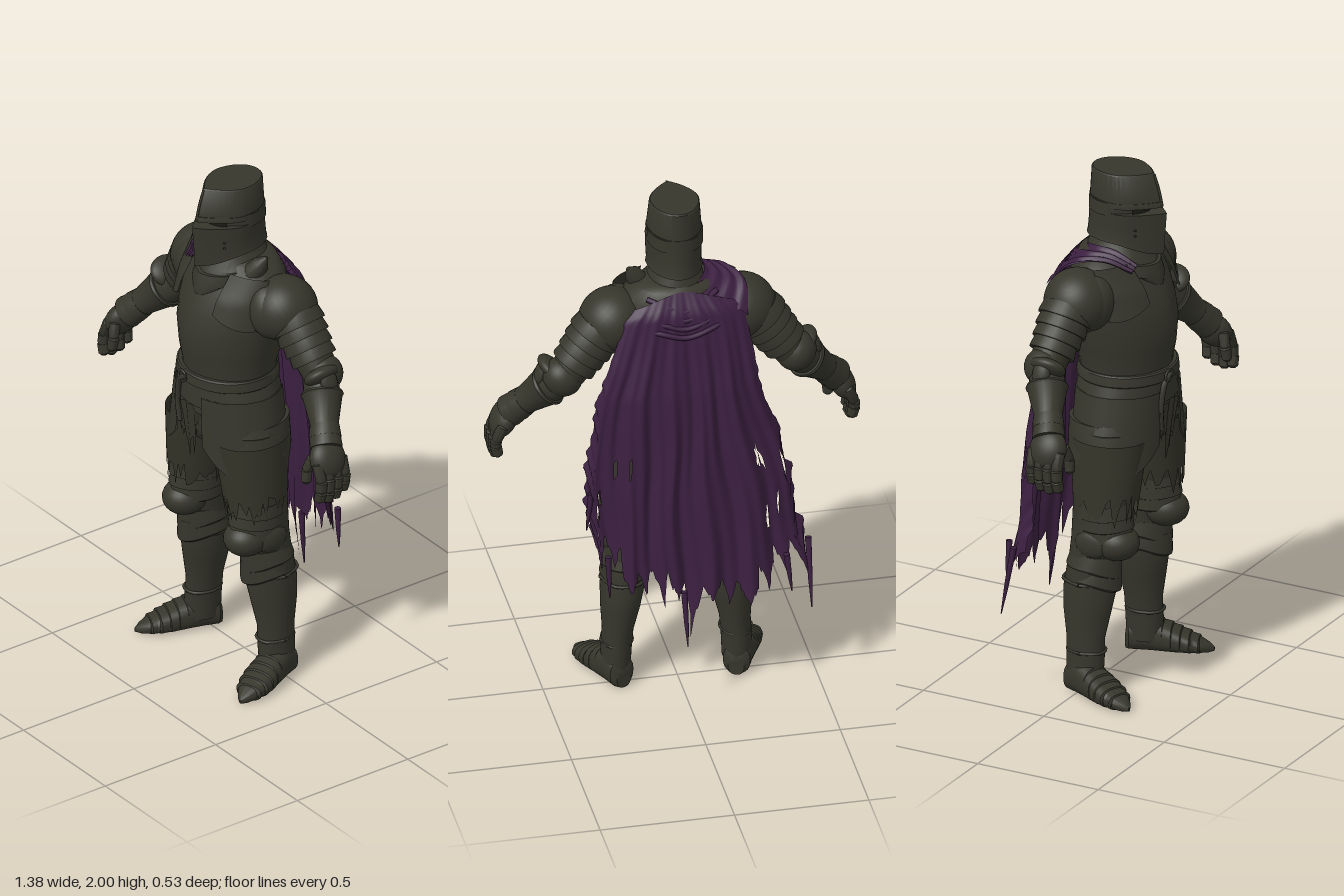
import * as THREE from 'three';
import { toCreasedNormals } from 'three/addons/utils/BufferGeometryUtils.js';

const mat = (name, color) => {
  const m = new THREE.MeshStandardMaterial({ color, side: THREE.DoubleSide });
  m.name = name;
  return m;
};
const V = (x, y, z) => new THREE.Vector3(x, y, z);
const rnd = (i) => { const f = Math.sin(i * 127.1 + 3.7) * 43758.5453; return f - Math.floor(f); };
const lerp = THREE.MathUtils.lerp;

// Piecewise-linear lookup; keys are [position, value] with falling positions
function keyed(keys, p) {
  for (let i = 1; i < keys.length; i++) {
    const [a, va] = keys[i - 1], [b, vb] = keys[i];
    if (p >= b || i === keys.length - 1) return lerp(va, vb, THREE.MathUtils.clamp((a - p) / (a - b), 0, 1));
  }
}

// Closed solid through oval rings [y, halfWidth, zFront, zBack, xCentre, frontPeak, frontDip]
function loft(rings, { n = 36, square = 1 } = {}) {
  if (rings[0][0] > rings[rings.length - 1][0]) rings = [...rings].reverse();
  const pos = [], idx = [], last = (rings.length - 1) * n;
  for (const [y, rx, zf, zb, cx = 0, peak = 0, dip = 0] of rings) {
    const zm = (zf + zb) / 2, d = (zf - zb) / 2;
    for (let j = 0; j < n; j++) {
      const a = (j / n) * Math.PI * 2, c = Math.cos(a), s = Math.sin(a);
      const cc = Math.sign(c) * Math.abs(c) ** square, ss = Math.sign(s) * Math.abs(s) ** square;
      const f = s > 0 ? lerp(ss, 1 - Math.abs(c), peak) : ss;
      pos.push(cx + rx * cc, y - dip * Math.max(0, s) ** 2, zm + d * f);
    }
  }
  for (let r = 0; r < last; r += n) for (let j = 0; j < n; j++) {
    const a = r + j, c = r + (j + 1) % n;
    idx.push(a, a + n, c, c, a + n, c + n);
  }
  for (let j = 1; j < n - 1; j++) idx.push(0, j, j + 1, last, last + j + 1, last + j);
  const g = new THREE.BufferGeometry();
  g.setAttribute('position', new THREE.Float32BufferAttribute(pos, 3));
  g.setIndex(idx);
  return toCreasedNormals(g, 0.6);
}

// Cloth or plate: fn(u, v) gives a point, skip(u, v) tears a hole
function sheet(nu, nv, fn, skip = () => false) {
  const pos = [], idx = [];
  for (let j = 0; j <= nv; j++) for (let i = 0; i <= nu; i++) pos.push(...fn(i / nu, j / nv));
  for (let j = 0; j < nv; j++) for (let i = 0; i < nu; i++) {
    if (skip((i + 0.5) / nu, (j + 0.5) / nv)) continue;
    const a = j * (nu + 1) + i, b = a + nu + 1;
    idx.push(a, b, a + 1, a + 1, b, b + 1);
  }
  const g = new THREE.BufferGeometry();
  g.setAttribute('position', new THREE.Float32BufferAttribute(pos, 3));
  g.setIndex(idx);
  g.computeVertexNormals();
  return g;
}

export function createModel() {
  const steel = mat('blackened steel', 0x36362c), cloth = mat('purple cloth', 0x3c2041);
  const dark = mat('dark gaps', 0x1b1b15), mail = mat('worn mail', 0x343429);
  const root = new THREE.Group();
  const add = (name, geo, m = steel) => {
    const mesh = new THREE.Mesh(geo, m);
    mesh.name = name;
    root.add(mesh);
    return mesh;
  };
  const ball = (name, p, size, rz = 0) => {
    const b = add(name, new THREE.SphereGeometry(1, 28, 18));
    b.position.copy(p); b.scale.set(...size); b.rotation.z = rz;
  };
  const tube = (name, pts, r, m = steel) =>
    add(name, new THREE.TubeGeometry(new THREE.CatmullRomCurve3(pts), 24, r, 8), m);
  // Round limb from p to q; profile holds [fraction, radius]
  const limb = (name, p, q, profile, m = steel) => {
    const d = q.clone().sub(p), len = d.length();
    const mesh = add(name, loft(profile.map(([t, r]) => [t * len, r, r, -r]), { n: 24 }), m);
    mesh.position.copy(p);
    mesh.quaternion.setFromUnitVectors(V(0, 1, 0), d.normalize());
  };
  const lames = (name, p, q, n, r0, r1) => {
    for (let i = 0; i < n; i++) {
      const r = lerp(r0, r1, i / n);
      limb(name, p.clone().lerp(q, i / n), p.clone().lerp(q, (i + 1.15) / n), [[0, r * 0.96], [0.85, r * 1.03], [1, r * 1.02]]);
    }
  };

  // Helmet: flared bucket with a keel and a sunken eye slit at the front
  add('helmetCrown', loft([[2, 0.088, 0.18, -0.062, 0, 0.45], [1.995, 0.092, 0.186, -0.066, 0, 0.45],
    [1.9, 0.1, 0.212, -0.072, 0, 0.5], [1.872, 0.102, 0.22, -0.074, 0, 0.55]]));
  add('helmetShell', loft([[1.89, 0.1015, 0.16, -0.0735, 0, 0.2], [1.84, 0.1025, 0.16, -0.0755, 0, 0.2]]));
  add('eyeSlit', sheet(20, 1, (u, v) => {
    const a = lerp(0.25, 0.75, u) * Math.PI;
    return [0.1 * Math.cos(a), 1.84 + 0.04 * v, 0.045 + 0.122 * Math.sin(a)];
  }), dark);
  add('helmetVisor', loft([[1.852, 0.103, 0.236, -0.075, 0, 0.55], [1.8, 0.102, 0.232, -0.077, 0, 0.55],
    [1.75, 0.1, 0.226, -0.082, 0, 0.5, 0.03], [1.735, 0.104, 0.225, -0.086, 0, 0.5, 0.045]]));
  add('helmetRivetBand', loft([[1.885, 0.103, 0.222, -0.0755, 0, 0.55], [1.893, 0.102, 0.219, -0.0745, 0, 0.55]]));
  tube('helmetKeel', [V(0, 1.995, 0.184), V(0, 1.94, 0.203), V(0, 1.875, 0.218)], 0.005);
  for (const s of [-1, 1]) for (let i = 0; i < 8; i++) {
    const h = add('breathHole', new THREE.SphereGeometry(0.005, 6, 4), dark);
    h.position.set(s * (0.03 + 0.015 * (i % 4)), 1.77 + 0.022 * Math.floor(i / 4), 0.186 - 0.0135 * (i % 4));
  }

  // Neck and trunk
  add('gorget', loft([[1.78, 0.075, 0.13, -0.05], [1.7, 0.1, 0.15, -0.08], [1.67, 0.13, 0.18, -0.09, 0, 0.1],
    [1.64, 0.12, 0.2, -0.06, 0, 0.2, 0.02]]));
  add('gorgetBib', loft([[1.66, 0.1, 0.2, 0.02, 0, 0.1, 0.01], [1.62, 0.1, 0.218, 0.03, 0, 0.15, 0.02],
    [1.6, 0.075, 0.22, 0.05, 0, 0.15, 0.03]]));
  add('cuirass', loft([[1.7, 0.1, 0.12, -0.08], [1.685, 0.16, 0.13, -0.1], [1.64, 0.21, 0.165, -0.12, 0, 0.1],
    [1.58, 0.225, 0.21, -0.13, 0, 0.12], [1.5, 0.222, 0.246, -0.135, 0, 0.15], [1.42, 0.214, 0.265, -0.13, 0, 0.17],
    [1.33, 0.2, 0.258, -0.12, 0, 0.15], [1.26, 0.185, 0.242, -0.1, 0, 0.1], [1.2, 0.185, 0.235, -0.095]]));
  add('belt', loft([[1.25, 0.19, 0.25, -0.103], [1.245, 0.195, 0.257, -0.107], [1.21, 0.2, 0.26, -0.11], [1.205, 0.195, 0.252, -0.105]]));
  tube('beltStrap', [V(0, 1.235, 0.257), V(-0.05, 1.2, 0.255), V(-0.07, 1.1, 0.25), V(-0.06, 1.02, 0.247)], 0.011);
  const buckle = add('buckle', new THREE.TorusGeometry(0.022, 0.005, 8, 20));
  buckle.position.set(-0.03, 1.225, 0.26);
  add('fauld', loft([[1.22, 0.19, 0.245, -0.1], [1.13, 0.222, 0.25, -0.11, 0, 0, 0.01], [1.12, 0.215, 0.245, -0.105],
    [1.03, 0.25, 0.25, -0.11], [0.97, 0.235, 0.22, -0.1], [0.9, 0.15, 0.14, -0.07]]));
  add('loinCloth', sheet(24, 10, (u, v) => {
    const x = (u - 0.5) * 0.17 * (1 - 0.3 * v), hem = 0.86 + 0.09 * rnd(Math.floor(u * 24) + 5) + 0.25 * Math.abs(u - 0.5);
    return [x - 0.005, lerp(1.13 - 6 * x * x, hem, v), 0.261 - x * x * 2 - 0.02 * v + 0.005 * Math.sin(u * 25)];
  }), mail);

  for (const s of [-1, 1]) {
    const P = (x, y, z) => V(s * x, y, z);
    // Hip plates with pointed lower edges
    for (const [a0, a1, low] of [[0.3, 1.25, 0.88], [-0.75, 0.34, 0.9]]) {
      const hip = (out) => sheet(16, 10, (u, v) => {
        const a = lerp(a0, a1, u), y = lerp(1.17, low + 0.09 * Math.abs(2 * u - 1) ** 1.5, v), k = (1.17 - y) / 0.3;
        const r = 1 + out + 0.012 * Math.sin(u * Math.PI);
        return [s * Math.cos(a) * lerp(0.212, 0.27, k) * r, y, 0.07 + Math.sin(a) * lerp(0.185, 0.19, k) * r];
      });
      add('tasset', hip(0.01));
      add('tassetLining', hip(-0.02), mail);
    }
    // Legs
    add('thigh', loft([[1.06, 0.12, 0.2, -0.09, s * 0.12], [0.95, 0.122, 0.21, -0.08, s * 0.145], [0.82, 0.103, 0.195, -0.045, s * 0.168],
      [0.7, 0.088, 0.175, -0.045, s * 0.182], [0.6, 0.076, 0.14, -0.05, s * 0.185], [0.48, 0.078, 0.12, -0.06, s * 0.193]]));
    add('mailSkirt', sheet(60, 8, (u, v) => {
      const a = u * Math.PI * 2, hem = 0.68 + 0.12 * rnd(Math.floor((u % 1) * 60) + s * 31);
      const y = lerp(1, hem, v), k = (1 - y) / 0.3;
      return [s * lerp(0.145, 0.178, k) + Math.cos(a) * lerp(0.125, 0.1, k), y, 0.078 + Math.sin(a) * lerp(0.148, 0.12, k)];
    }), mail);
    for (let i = 0; i < 3; i++) {
      const y = 0.75 - i * 0.045, e = 0.004 - i * 0.003;
      add('thighLame', loft([[y, 0.088 + e, 0.185, -0.035, s * 0.18, 0.1, -0.02], [y - 0.05, 0.091 + e, 0.195, -0.04, s * 0.182, 0.1, -0.01],
        [y - 0.055, 0.085, 0.185, -0.035, s * 0.182, 0.1, -0.01]]));
    }
    ball('kneeCop', P(0.187, 0.6, 0.13), [0.08, 0.068, 0.087]);
    ball('kneeWing', P(0.25, 0.6, 0.06), [0.026, 0.055, 0.065]);
    for (let i = 0; i < 2; i++) add('kneeLame', loft([[0.55 - i * 0.05, 0.076, 0.15, -0.05, s * 0.19, 0.1],
      [0.5 - i * 0.05, 0.088, 0.15, -0.065, s * 0.193, 0.15, 0.035], [0.493 - i * 0.05, 0.084, 0.14, -0.06, s * 0.193, 0.15, 0.035]]));
    add('greave', loft([[0.5, 0.08, 0.125, -0.06, s * 0.195], [0.4, 0.081, 0.13, -0.075, s * 0.2, 0.1], [0.32, 0.073, 0.115, -0.07, s * 0.208, 0.1],
      [0.22, 0.057, 0.096, -0.055, s * 0.218, 0.1], [0.13, 0.056, 0.095, -0.052, s * 0.224], [0.05, 0.055, 0.09, -0.05, s * 0.226]]));
    for (const y of [0.17, 0.44]) tube('greaveStrap', [0, 1, 2, 3, 4, 5, 6].map((i) => {
      const a = i / 6 * Math.PI * 2, r = y > 0.3 ? 0.085 : 0.058;
      return P((y > 0.3 ? 0.198 : 0.222) + Math.cos(a) * r, y, 0.025 + Math.sin(a) * (r + 0.016));
    }), 0.006);
    // Pointed armoured shoe, turned out
    const shoe = (name, rings) => {
      const f = add(name, loft(rings, { square: 0.8 }).rotateX(Math.PI / 2));
      f.position.set(s * 0.226, 0, 0); f.rotation.y = s * 0.36;
    };
    shoe('shoe', [[-0.05, 0.03, 0, -0.08], [-0.035, 0.05, 0, -0.11], [0.02, 0.055, 0, -0.135], [0.08, 0.06, 0, -0.115],
      [0.15, 0.064, 0, -0.083], [0.21, 0.05, 0, -0.058], [0.255, 0.024, 0, -0.035], [0.275, 0.004, -0.005, -0.02]]);
    for (let i = 0; i < 5; i++) {
      const z = 0.06 + i * 0.033, w = [0.06, 0.064, 0.066, 0.063, 0.053][i], h = 0.127 - i * 0.015;
      shoe('shoeLame', [[z, w - 0.002, 0, -h + 0.002], [z + 0.027, w, 0, -h + 0.01], [z + 0.033, w - 0.006, 0, -h + 0.022]]);
    }

    // Shoulder and arm plates, with a shield-shaped flange lying on the chest
    const S = P(0.26, 1.56, -0.01), E = P(0.425, 1.35, -0.03), W = P(0.575, 1.195, 0.06);
    ball('pauldron', P(0.245, 1.55, 0), [0.125, 0.12, 0.125], -s * 0.7);
    ball('pauldronFront', P(0.225, 1.55, 0.05), [0.085, 0.11, 0.085], s * 0.35);
    add('pauldronFlange', sheet(14, 10, (u, v) => {
      const a = lerp(0.3, 1.12, u), y = lerp(1.675, 1.48 + 0.05 * u * u, v);
      const f = keyed([[1.68, 0.14], [1.64, 0.168], [1.58, 0.212], [1.48, 0.25]], y) + 0.012, m = (f - 0.13) / 2;
      return [s * Math.cos(a) * 0.24, y, m + Math.sin(a) * (f - m)];
    }));
    limb('upperArm', S, E, [[0, 0.085], [1, 0.068]], mail);
    lames('armLame', P(0.285, 1.535, -0.012), P(0.39, 1.395, -0.026), 4, 0.1, 0.079);
    ball('elbowCop', P(0.435, 1.35, -0.035), [0.072, 0.077, 0.073], -s * 0.7);
    ball('elbowWing', P(0.47, 1.37, 0.0), [0.03, 0.06, 0.07], -s * 0.8);
    limb('forearm', E, W, [[0, 0.066], [0.4, 0.066], [1, 0.045]]);
    limb('gauntletCuff', P(0.475, 1.3, 0), W, [[0, 0.075], [0.06, 0.079], [0.12, 0.073], [0.75, 0.053], [1, 0.055]]);
    lames('wristLame', P(0.555, 1.215, 0.048), P(0.605, 1.16, 0.078), 2, 0.057, 0.061);
    ball('cuffPoint', P(0.51, 1.36, -0.005), [0.02, 0.055, 0.035], s * 0.35);
    // Hand with curled fingers
    ball('handBack', P(0.628, 1.125, 0.088), [0.047, 0.075, 0.072], s * 0.45);
    const finger = (name, pts, r) => {
      for (let i = 1; i < pts.length; i++) limb(name, pts[i - 1], pts[i],
        [[-0.12, r * 0.6], [0, r], [0.9, r * 0.92], [1.12, r * 0.5]]);
    };
    for (let i = 0; i < 4; i++) {
      const z = 0.035 + i * 0.035, d = [0.025, 0.005, 0, 0.01][i];
      finger('finger', [P(0.64, 1.12, z), P(0.666, 1.06, z + 0.003), P(0.667, 1.01 + d, z + 0.006), P(0.658, 0.972 + d, z + 0.008)], 0.022);
    }
    finger('thumb', [P(0.605, 1.13, 0.14), P(0.59, 1.08, 0.155), P(0.595, 1.035, 0.16)], 0.021);
  }
  // Raised guard on the left shoulder
  limb('shoulderGuard', V(0.125, 1.655, 0.06), V(0.178, 1.74, 0.03), [[0, 0.04], [0.6, 0.032], [1, 0.006]]);

  // Tattered cape over the backs of the shoulders, its edges curling forward lower down
  const right = [[1.7, 0.13], [1.6, 0.23], [1.3, 0.285], [0.9, 0.41], [0.5, 0.49], [0.3, 0.49]];
  const left = [[1.7, 0.12], [1.6, 0.22], [1.3, 0.335], [0.9, 0.38], [0.5, 0.34], [0.3, 0.33]];
  const depth = [[1.7, -0.09], [1.62, -0.145], [1.3, -0.19], [0.9, -0.215], [0.5, -0.24], [0.3, -0.25]];
  const curl = [[1.7, 0.03], [1.4, 0.04], [1.1, 0.09], [0.7, 0.13], [0.4, 0.09]];
  const teeth = 13;
  const hem = (u) => {
    const k = Math.floor(u * teeth * 0.9999), f = u * teeth - k;
    const tip = 0.38 + 0.1 * rnd(k + 2) + (u > 0.85 ? 0.1 : 0) - (k === 6 ? 0.08 : 0);
    return tip + (0.08 + 0.11 * rnd(k + 40)) * Math.abs(2 * f - 1) ** 0.5 + 0.025 * rnd(Math.floor(u * 150));
  };
  const capePoint = (u, v) => {
    const w = 2 * u - 1, y = lerp(1.69 - 0.05 * w * w, hem(u), v), g = Math.min(1, (1.7 - y) * 1.5);
    const ragged = 1 - 0.06 * g * rnd(Math.floor(v * 30) + (w > 0 ? 90 : 0)) * Math.abs(w) ** 12;
    const fold = Math.sin(w * 17 + y * 1.5) * 0.014 + Math.sin(w * 41 - y * 2) * 0.006;
    return [w * ragged * keyed(w < 0 ? right : left, y) + 0.008 * g * Math.sin(y * 9 + w * 5), y,
      keyed(depth, y) + g * fold + keyed(curl, y) * Math.abs(w) ** 4];
  };
  const holes = Array.from({ length: 10 }, (_, i) =>
    [i % 2 ? 0.04 + rnd(i) * 0.2 : 0.96 - rnd(i) * 0.2, 0.55 + 0.35 * rnd(i + 70), 0.005 + 0.003 * rnd(i + 9)]);
  add('cape', sheet(150, 60, capePoint, (u, v) =>
    holes.some(([hu, hv, r]) => ((u - hu) / r) ** 2 + ((v - hv) / (r * 5)) ** 2 < 1)), cloth);
  // Long torn strips below the hem
  for (const [x0, y0, z0, x1, y1, z1] of [[-0.455, 0.62, -0.15, -0.458, 0.35, -0.2], [0.025, 0.5, -0.24, 0.015, 0.275, -0.26],
    [0.3, 0.66, -0.2, 0.295, 0.49, -0.21], [-0.36, 0.6, -0.22, -0.38, 0.44, -0.22], [0.35, 0.9, -0.14, 0.365, 0.74, -0.13]])
    limb('tornStrip', V(x0, y0, z0), V(x1, y1, z1), [[0, 0.012], [0.6, 0.008], [1, 0.002]], cloth);
  // Sagging folds at the nape and cloth thrown over the right shoulder
  for (let i = 0; i < 4; i++) {
    const y = 1.665 - i * 0.03, w = 0.13 + i * 0.015;
    tube('capeFold', [V(-w, y + 0.01, -0.08 - i * 0.014), V(-w / 2, y - 0.02, -0.115 - i * 0.013), V(0, y - 0.04, -0.13 - i * 0.011),
      V(w / 2, y - 0.02, -0.115 - i * 0.013), V(w, y, -0.08 - i * 0.014)], 0.01, cloth);
  }
  const inner = new THREE.CatmullRomCurve3([V(-0.09, 1.665, 0.165), V(-0.1, 1.705, 0.08), V(-0.1, 1.71, 0), V(-0.03, 1.685, -0.1)]);
  const outer = new THREE.CatmullRomCurve3([V(-0.14, 1.65, 0.165), V(-0.19, 1.69, 0.07), V(-0.245, 1.678, -0.04), V(-0.235, 1.59, -0.135)]);
  add('shoulderDrape', sheet(24, 24, (u, v) => {
    const p = inner.getPoint(u).lerp(outer.getPoint(u), v);
    return [p.x, p.y + 0.006 * Math.sin(v * 20 + u * 3), p.z];
  }), cloth);
  return root;
}
